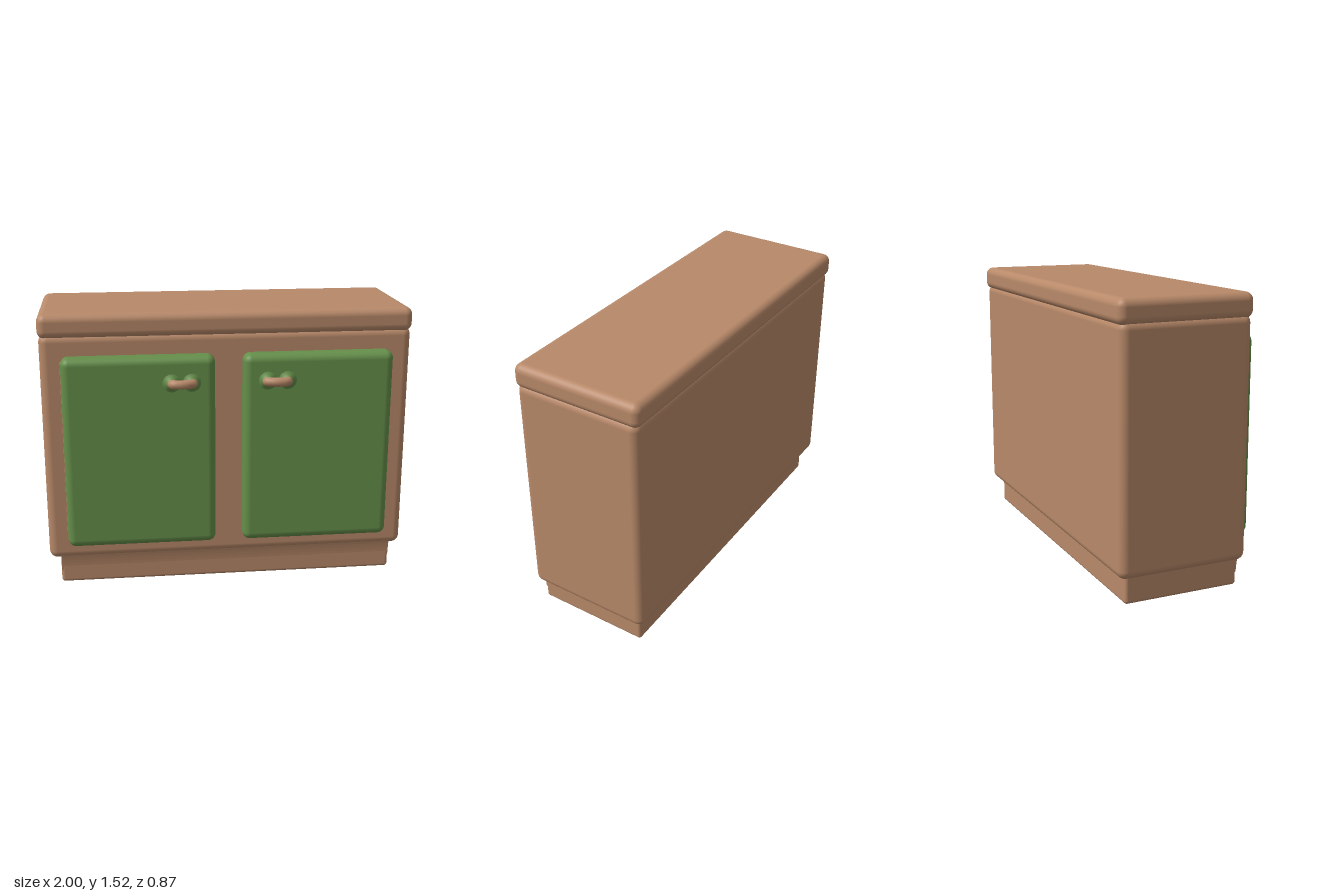
import * as THREE from 'three';
import { RoundedBoxGeometry } from 'three/addons/geometries/RoundedBoxGeometry.js';

export function createModel() {
  const group = new THREE.Group();
  const wood = new THREE.MeshStandardMaterial({ color: 0xb88969 });
  wood.name = 'brown wood';
  const paint = new THREE.MeshStandardMaterial({ color: 0x658f4a });
  paint.name = 'green paint';

  const add = (name, geometry, material, parent = group) => {
    const mesh = new THREE.Mesh(geometry, material);
    mesh.name = name;
    parent.add(mesh);
    return mesh;
  };
  // Rounded box given by its extents on each axis
  const block = (name, [x0, x1], [y0, y1], [z0, z1], r, material, parent) => {
    const mesh = add(name, new RoundedBoxGeometry(x1 - x0, y1 - y0, z1 - z0, 5, r), material, parent);
    mesh.position.set((x0 + x1) / 2, (y0 + y1) / 2, (z0 + z1) / 2);
    return mesh;
  };

  // Cabinet carcass
  block('plinth', [-0.935, 0.935], [0, 0.25], [-0.37, 0.265], 0.018, wood);
  block('body', [-0.995, 0.995], [0.15, 1.415], [-0.423, 0.287], 0.045, wood);
  block('worktop', [-1, 1], [1.39, 1.52], [-0.435, 0.295], 0.042, wood);

  // Soft slope joining the body front to the plinth
  const slope = new THREE.Shape();
  slope.moveTo(0.2, 0.24);
  slope.lineTo(0.2, 0.07);
  slope.lineTo(0.263, 0.07);
  slope.quadraticCurveTo(0.267, 0.14, 0.28, 0.18);
  slope.quadraticCurveTo(0.286, 0.2, 0.286, 0.24);
  const slopeGeometry = new THREE.ExtrudeGeometry(slope, { depth: 1.866, bevelEnabled: false, curveSegments: 6 });
  slopeGeometry.rotateY(-Math.PI / 2); // profile runs along z, length along x
  slopeGeometry.translate(0.933, 0, 0);
  add('plinthSlope', slopeGeometry, wood);

  // Doors with handles, mirrored about the centre
  for (const side of [1, -1]) {
    const door = new THREE.Group();
    door.name = side > 0 ? 'leftDoor' : 'rightDoor';
    group.add(door);
    const span = (a, b) => (side > 0 ? [a, b] : [-b, -a]);
    block('doorPanel', span(0.075, 0.885), [0.245, 1.3], [0.22, 0.366], 0.042, paint, door);
    block('doorEdge', span(0.878, 0.888), [0.3, 1.27], [0.27, 0.32], 0.002, wood, door);

    // Handle loop
    const path = new THREE.CatmullRomCurve3(
      [[0.205, 0.35], [0.196, 0.382], [0.225, 0.4], [0.265, 0.405], [0.302, 0.394], [0.31, 0.35]]
        .map(([x, z]) => new THREE.Vector3(side * x, 1.16, z)));
    add('handle', new THREE.TubeGeometry(path, 32, 0.025, 12), wood, door);

    // Flared mounts at both ends of the handle
    for (const x of [0.202, 0.308]) {
      const flare = new THREE.LatheGeometry(
        [[0.055, 0], [0.038, 0.006], [0.03, 0.016], [0.024, 0.025]].map(p => new THREE.Vector2(...p)), 20);
      flare.rotateX(Math.PI / 2);
      add('handleMount', flare, paint, door).position.set(side * x, 1.16, 0.364);
    }
  }
  return group;
}
